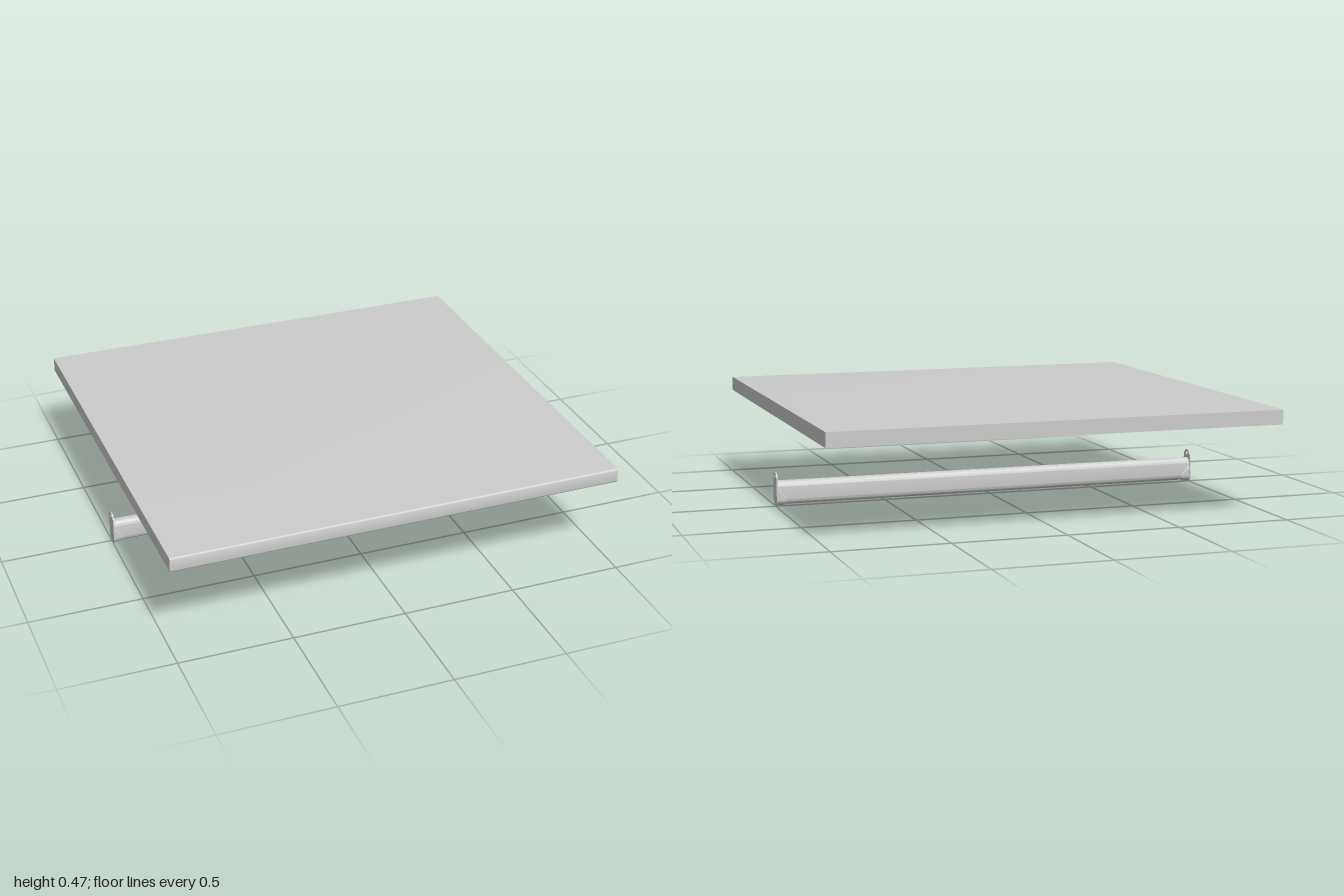
import * as THREE from 'three';
import { toCreasedNormals } from 'three/addons/utils/BufferGeometryUtils.js';

const material = new THREE.MeshStandardMaterial({ color: 0xcccccc });
const CZ = 0.01; // z of the lower rail's centre line

// Upright stadium outline as points, from y0 to y1 with half width r
function stadium(y0, y1, r, n = 14) {
  const pts = [];
  for (let i = 0; i <= n; i++) {
    const a = Math.PI + (Math.PI * i) / n;
    pts.push(new THREE.Vector2(Math.cos(a) * r, y0 + r + Math.sin(a) * r));
  }
  for (let i = 0; i <= n; i++) {
    const a = (Math.PI * i) / n;
    pts.push(new THREE.Vector2(Math.cos(a) * r, y1 - r + Math.sin(a) * r));
  }
  return pts;
}

// Extrude a (-z, y) profile along x from x0 over a length
function extrudeX(shape, x0, length) {
  const geo = new THREE.ExtrudeGeometry(shape, { depth: length, bevelEnabled: false, curveSegments: 8 });
  geo.rotateY(Math.PI / 2);
  geo.translate(x0, 0, 0);
  return toCreasedNormals(geo, 0.6);
}

// Surface joining two outlines at different x
function loft(a, xa, b, xb) {
  const pos = [], idx = [], n = a.length;
  for (let i = 0; i < n; i++) {
    pos.push(xa, a[i].y, -a[i].x, xb, b[i].y, -b[i].x);
    const j = (i + 1) % n;
    idx.push(2 * i, 2 * j, 2 * i + 1, 2 * j, 2 * j + 1, 2 * i + 1);
  }
  const geo = new THREE.BufferGeometry();
  geo.setAttribute('position', new THREE.Float32BufferAttribute(pos, 3));
  geo.setIndex(idx);
  geo.computeVertexNormals();
  return geo;
}

export function createModel() {
  const model = new THREE.Group();
  model.name = 'shelfWithRail';
  const add = (name, geo, mat = material) => {
    const mesh = new THREE.Mesh(geo, mat);
    mesh.name = name;
    model.add(mesh);
    return mesh;
  };

  // Shelf board with a slightly eased front edge
  const y0 = 0.404, y1 = 0.468, d = 0.948, r = 0.008;
  const board = new THREE.Shape();
  board.moveTo(d, y0);
  board.lineTo(d, y1);
  board.lineTo(-d + r, y1);
  board.quadraticCurveTo(-d, y1, -d, y1 - r);
  board.lineTo(-d, y0 + r);
  board.quadraticCurveTo(-d, y0, -d + r, y0);
  board.closePath();
  add('shelfBoard', extrudeX(board, -1, 2));

  // Hanging rail
  const rail = new THREE.Shape(stadium(0.007, 0.114, 0.027));
  add('rail', extrudeX(rail, -0.995, 1.99)).position.z = CZ;

  // End brackets: screw plate and flared socket, mirrored
  const plate = new THREE.Shape(stadium(0, 0.152, 0.033));
  const hole = new THREE.Path();
  hole.absarc(0, 0.136, 0.01, 0, Math.PI * 2, true);
  plate.holes.push(hole);
  const plateGeo = extrudeX(plate, -0.003, 0.006);
  const socketMat = material.clone();
  socketMat.side = THREE.DoubleSide;
  const wide = stadium(0.001, 0.1, 0.032);
  const narrow = stadium(0.004, 0.06, 0.0278);
  for (const [side, s] of [['left', 1], ['right', -1]]) {
    add(side + 'EndPlate', plateGeo).position.set(s * 0.997, 0, CZ);
    add(side + 'Socket', loft(wide, s * 0.995, narrow, s * 0.957), socketMat).position.z = CZ;
  }
  return model;
}
